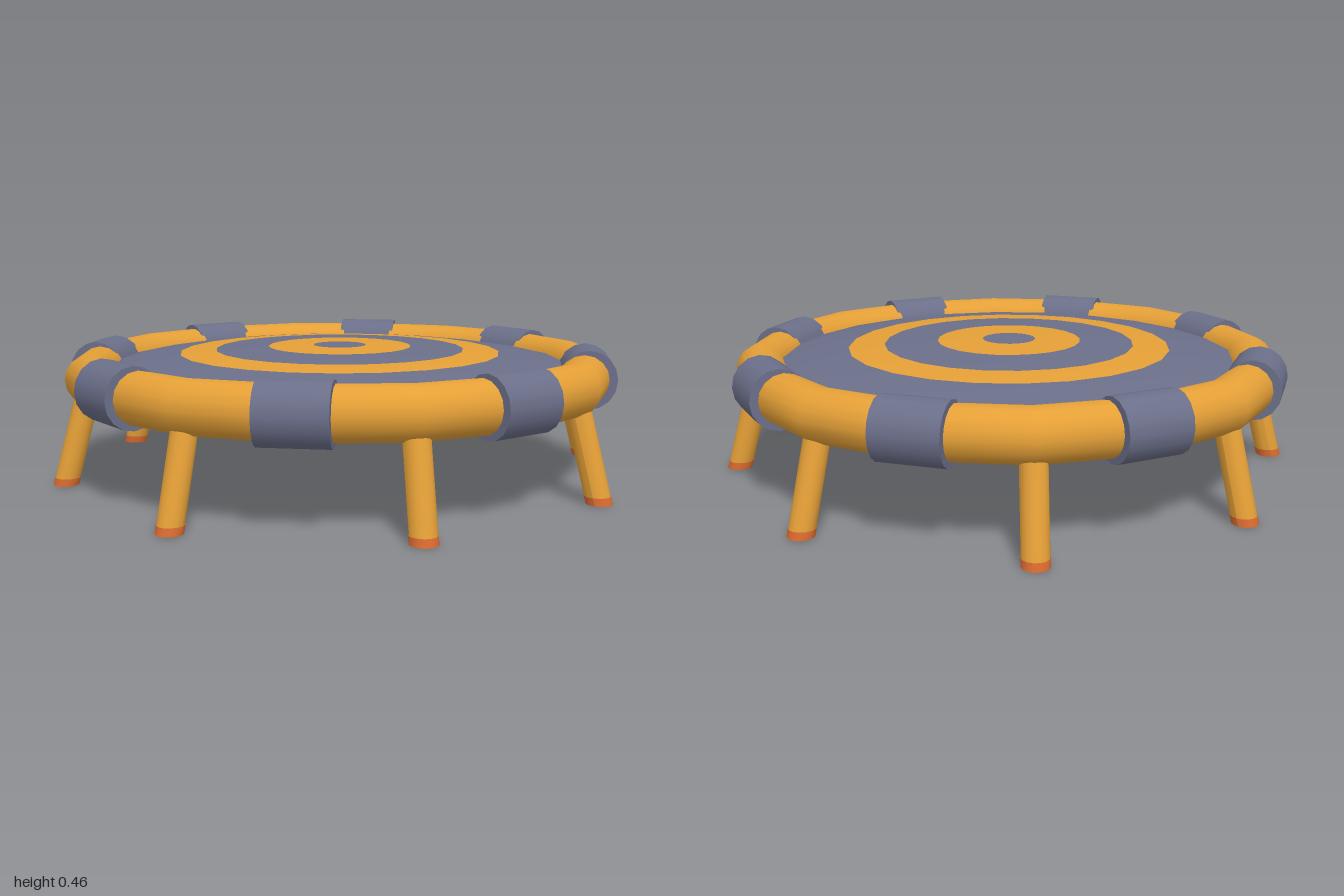
import * as THREE from 'three';

const material = (name, color, side = THREE.FrontSide) => {
  const m = new THREE.MeshStandardMaterial({ color, side });
  m.name = name;
  return m;
};

export function createModel() {
  const model = new THREE.Group();
  model.name = 'trampoline';
  const amber = material('amber', 0xe5a037, THREE.DoubleSide);
  const slate = material('slate', 0x6b6f89, THREE.DoubleSide);
  const rust = material('rust', 0xd96a30);

  const add = (parent, name, geometry, mat) => {
    const mesh = new THREE.Mesh(geometry, mat);
    mesh.name = name;
    parent.add(mesh);
    return mesh;
  };

  const ringY = 0.355;
  const ringRadius = 0.863;

  // Padded ring, sixteen straight sections
  const ring = new THREE.TorusGeometry(ringRadius, 0.085, 16, 16);
  ring.rotateX(Math.PI / 2);
  add(model, 'ring', ring, amber).position.y = ringY;

  // Domed mat: a thin shell divided into coloured bands
  const domeRadius = 0.86;
  const domeHeight = 0.094;
  const bands = [0, 0.092, 0.25, 0.435, 0.56, 0.845];
  for (let i = 0; i < bands.length - 1; i++) {
    const a = Math.asin(bands[i] / domeRadius);
    const b = Math.asin(bands[i + 1] / domeRadius);
    const band = new THREE.SphereGeometry(1, 24, i === 4 ? 6 : 2, 0, Math.PI * 2, a, b - a);
    band.scale(domeRadius, domeHeight, domeRadius);
    add(model, 'matBand' + (i + 1), band, i % 2 ? amber : slate).position.y = ringY;
  }

  // Straight sleeves wrapped around the ring between the legs
  const sleeve = new THREE.CylinderGeometry(1, 1, 0.22, 16);
  sleeve.rotateX(Math.PI / 2);
  sleeve.scale(0.0955, 0.1, 1);
  sleeve.translate(0.858, ringY, 0);

  // Splayed post between two heights, with level ends
  const post = (radius, y0, y1) => {
    const g = new THREE.CylinderGeometry(radius, radius, y1 - y0, 14);
    g.translate(0, (y0 + y1) / 2, 0);
    const p = g.attributes.position;
    for (let i = 0; i < p.count; i++) {
      p.setX(i, p.getX(i) + 0.957 - 0.27 * p.getY(i));
    }
    g.computeVertexNormals();
    return g;
  };
  const legGeometry = post(0.042, 0.024, 0.34);
  const footGeometry = post(0.043, 0, 0.025);

  for (let i = 0; i < 8; i++) {
    const angle = (i * Math.PI) / 4;
    add(model, 'sleeve', sleeve, slate).rotation.y = angle + Math.PI / 8;
    const leg = new THREE.Group();
    leg.name = 'leg';
    leg.rotation.y = angle;
    add(leg, 'legPost', legGeometry, amber);
    add(leg, 'foot', footGeometry, rust);
    model.add(leg);
  }
  return model;
}
